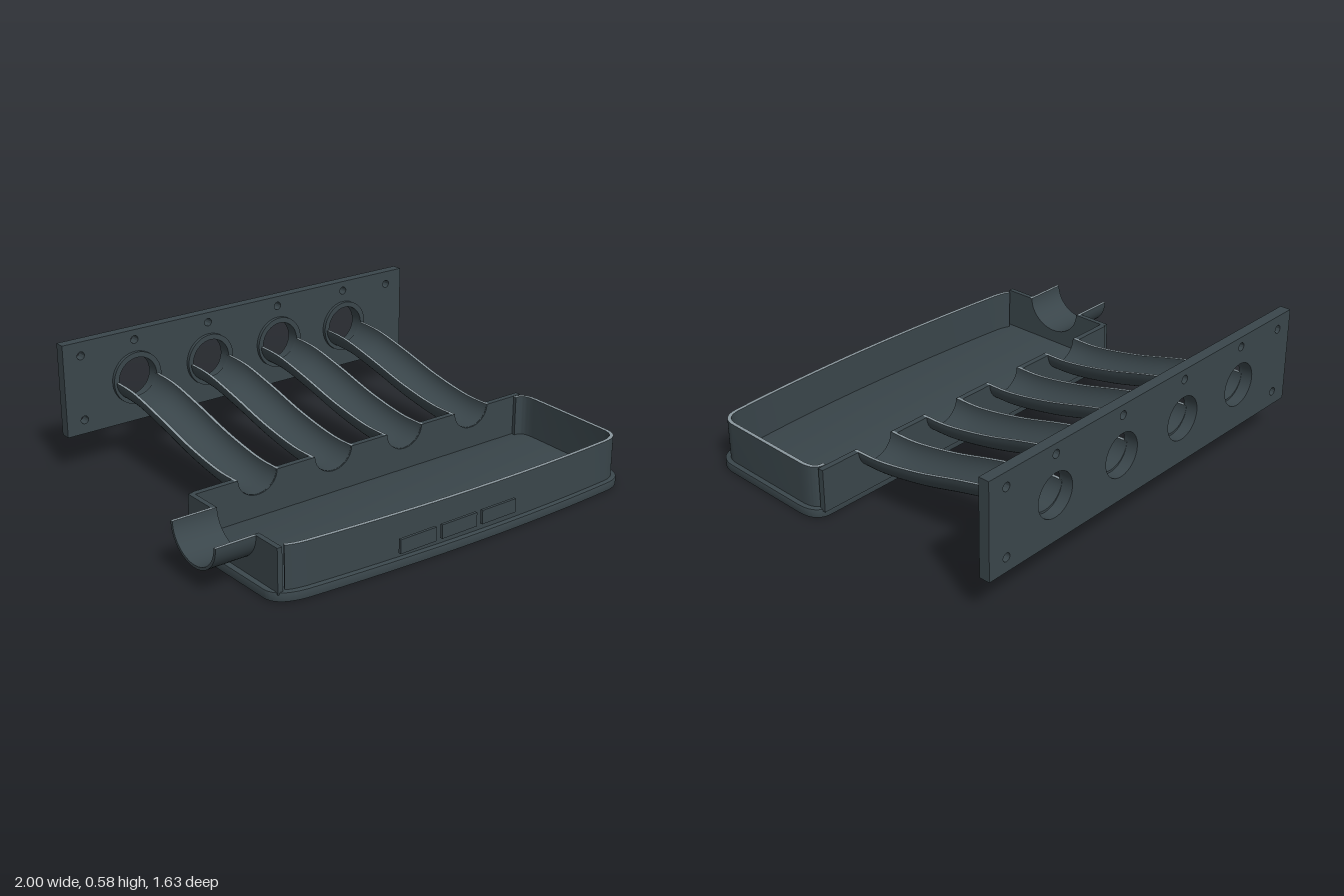
import * as THREE from 'three';
import { toCreasedNormals } from 'three/addons/utils/BufferGeometryUtils.js';

const body = new THREE.MeshStandardMaterial({ color: 0x3a464b, side: THREE.DoubleSide });
body.name = 'dark slate';
const rim = new THREE.MeshStandardMaterial({ color: 0x8a979d, side: THREE.DoubleSide });
rim.name = 'pale cut edge';

const RUNNER_X = [-0.505, -0.123, 0.26, 0.643];
const SQUASH = 0.9; // pipes are slightly shallower than half round

function add(parent, name, geometry, material = body) {
  const mesh = new THREE.Mesh(geometry, material);
  mesh.name = name;
  parent.add(mesh);
  return mesh;
}

function extrude(shape, depth, extra = {}) {
  const g = new THREE.ExtrudeGeometry(shape, { depth, bevelEnabled: false, curveSegments: 24, ...extra });
  return toCreasedNormals(g, 0.6);
}

function hole(x, y, r) {
  return new THREE.Path().absarc(x, y, r, 0, Math.PI * 2, true);
}

// Surface through rows of points
function loft(rows) {
  const n = rows[0].length, index = [];
  for (let i = 0; i < rows.length - 1; i++) {
    for (let j = 0; j < n - 1; j++) {
      const a = i * n + j, b = a + n;
      index.push(a, b, a + 1, b, b + 1, a + 1);
    }
  }
  const g = new THREE.BufferGeometry().setFromPoints(rows.flat());
  g.setIndex(index);
  g.computeVertexNormals();
  return g;
}

// Open-topped half pipe following a path in the yz plane
function halfPipe(name, path, rOut, rIn) {
  const group = new THREE.Group();
  group.name = name;
  const arc = (p, r, s = 1) => Array.from({ length: 25 }, (_, i) => {
    const a = Math.PI * (1 + i / 24);
    return new THREE.Vector3(s * r * Math.cos(a), p.y + r * SQUASH * Math.sin(a), p.z);
  });
  add(group, 'outerSkin', loft(path.map(p => arc(p, rOut, -1))));
  add(group, 'innerSkin', loft(path.map(p => arc(p, rIn))));
  for (const s of [-1, 1]) {
    add(group, 'cutEdge', loft(path.map(p => [s * -rOut, s * -rIn].map(x => new THREE.Vector3(x, p.y, p.z)))), rim);
  }
  const first = path[0], last = path[path.length - 1];
  add(group, 'startFace', loft([arc(first, rOut), arc(first, rIn)]));
  add(group, 'endFace', loft([arc(last, rIn), arc(last, rOut)]));
  return group;
}

// Upright wall with half-round notches in its top edge
function notchedWall(x0, x1, y0, y1, notches, r, depth) {
  const s = new THREE.Shape();
  s.moveTo(x1, y1);
  s.lineTo(x1, y0);
  s.lineTo(x0, y0);
  s.lineTo(x0, y1);
  for (const x of notches) {
    s.lineTo(x - r, y1);
    s.absellipse(x, y1, r, r * SQUASH, Math.PI, Math.PI * 2, false);
  }
  return extrude(s, depth);
}

// Plan of the tray base in x and z
function trayPlan() {
  const s = new THREE.Shape();
  s.moveTo(0.9, 0.13);
  s.quadraticCurveTo(0.985, 0.13, 0.982, 0.24);
  s.lineTo(0.965, 0.68);
  s.quadraticCurveTo(0.955, 0.775, 0.85, 0.785);
  s.quadraticCurveTo(0.15, 0.835, -0.7, 0.76);
  s.quadraticCurveTo(-0.84, 0.745, -0.845, 0.66);
  s.lineTo(-0.85, 0.22);
  s.quadraticCurveTo(-0.85, 0.13, -0.77, 0.13);
  return s;
}

function inset(points, d) {
  return points.map((p, i) => {
    const a = points[Math.max(i - 1, 0)], b = points[Math.min(i + 1, points.length - 1)];
    const t = b.clone().sub(a).normalize();
    return new THREE.Vector2(p.x - t.y * d, p.y + t.x * d);
  });
}

function createTray() {
  const tray = new THREE.Group();
  tray.name = 'tray';

  // Floor plate with its projecting lip
  const floor = extrude(trayPlan(), 0.028, {
    bevelEnabled: true, bevelThickness: 0.006, bevelSize: 0.004, bevelOffset: -0.004, bevelSegments: 2,
  });
  floor.rotateX(Math.PI / 2).translate(0, 0.034, 0);
  add(tray, 'floor', floor);

  // Curved wall around the right end and the front
  const all = trayPlan().getPoints(16);
  const run = all.slice(0, all.findIndex(p => p.x < -0.805));
  const band = new THREE.Shape([...inset(run, 0.022), ...inset(run, 0.038).reverse()]);
  const wall = extrude(band, 0.187);
  wall.rotateX(Math.PI / 2).translate(0, 0.222, 0);
  add(tray, 'curvedWall', wall, [rim, body]);

  // Straight walls that carry the pipes
  const back = add(tray, 'backWall', notchedWall(-0.8, 0.94, 0.03, 0.222, RUNNER_X, 0.095, 0.026));
  back.position.z = 0.124;
  const end = add(tray, 'inletWall', notchedWall(-0.72, -0.13, 0.03, 0.222, [-0.437], 0.138, 0.022));
  end.rotation.y = Math.PI / 2;
  end.position.x = -0.822;

  // Raised tags on the front
  for (const x of [-0.227, -0.018, 0.191]) {
    add(tray, 'frontTag', new THREE.BoxGeometry(0.18, 0.06, 0.012)).position.set(x, 0.108, 0.807);
  }
  return tray;
}

function createFlange() {
  const flange = new THREE.Group();
  flange.name = 'flange';
  const s = new THREE.Shape();
  s.moveTo(-0.855, 0.167);
  s.lineTo(0.997, 0.167);
  s.lineTo(0.997, 0.585);
  s.lineTo(-0.855, 0.585);
  s.closePath();
  for (const x of RUNNER_X) s.holes.push(hole(x, 0.367, 0.095), hole(x, 0.54, 0.018));
  for (const x of [-0.77, 0.907]) s.holes.push(hole(x, 0.523, 0.018), hole(x, 0.23, 0.018));
  add(flange, 'flangePlate', extrude(s, 0.048)).position.z = -0.813;

  // Collars around the ports
  for (const x of RUNNER_X) {
    const ring = new THREE.Shape().absarc(x, 0.367, 0.119, 0, Math.PI * 2, false);
    ring.holes.push(hole(x, 0.367, 0.095));
    add(flange, 'portCollar', extrude(ring, 0.016)).position.z = -0.765;
  }
  return flange;
}

export function createModel() {
  const model = new THREE.Group();
  model.name = 'intakeManifoldHalf';
  model.add(createTray(), createFlange());

  // Four runners sweeping up to the flange
  const path = new THREE.CatmullRomCurve3([
    [0.145, 0.222], [0.02, 0.224], [-0.2, 0.26], [-0.42, 0.316], [-0.6, 0.356], [-0.68, 0.364], [-0.762, 0.366],
  ].map(([z, y]) => new THREE.Vector3(0, y, z))).getPoints(36);
  for (const x of RUNNER_X) {
    const runner = halfPipe('runner', path.slice().reverse(), 0.107, 0.094);
    runner.position.x = x;
    model.add(runner);
  }

  // Inlet at the end of the tray
  const inlet = halfPipe('inlet', [new THREE.Vector3(0, 0.222, 0), new THREE.Vector3(0, 0.222, 0.2)], 0.151, 0.138);
  inlet.rotation.y = Math.PI / 2;
  inlet.position.set(-1, 0, 0.437);
  model.add(inlet);
  return model;
}
